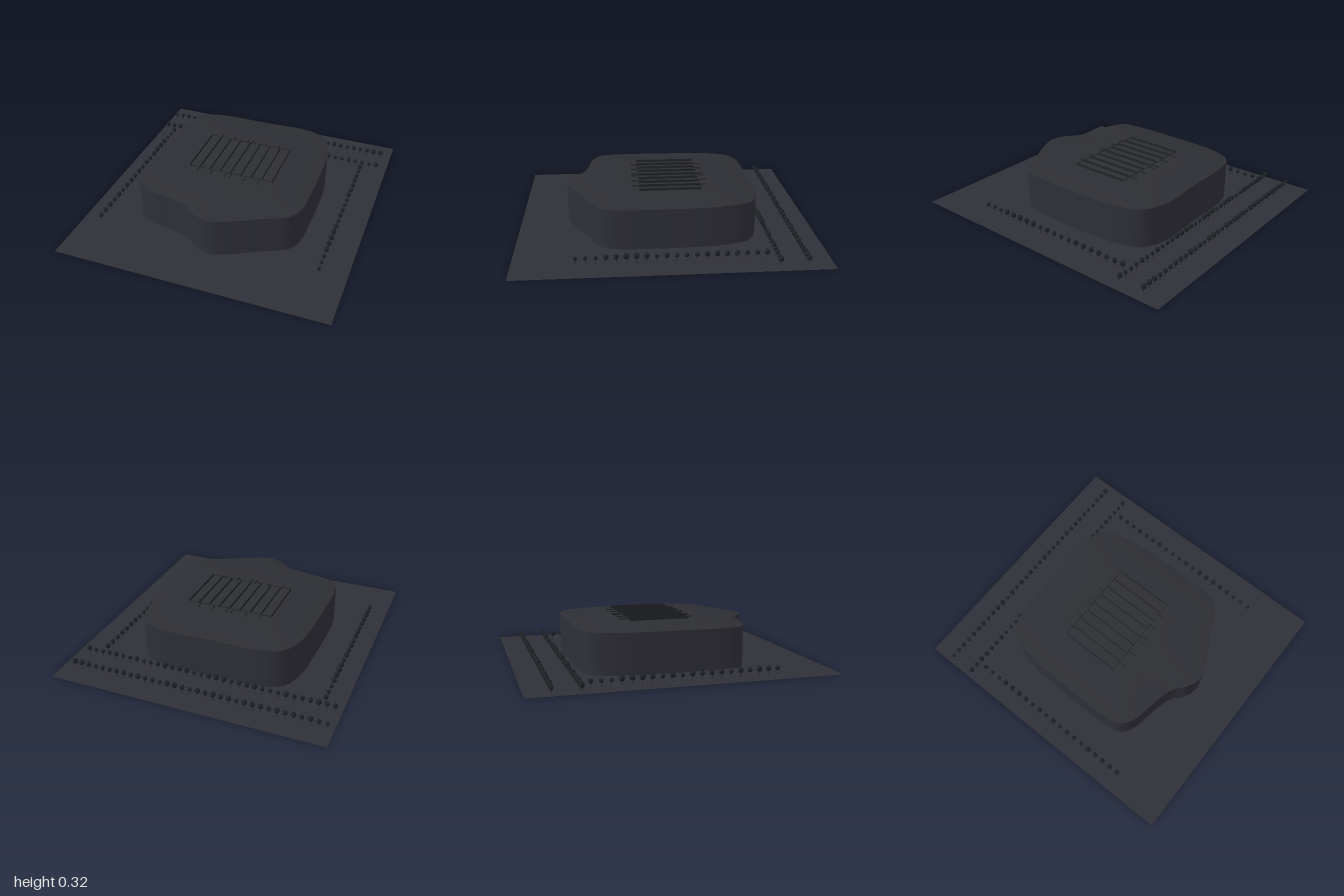
import * as THREE from 'three';

const mat = (name, color) => new THREE.MeshStandardMaterial({ name, color, side: THREE.DoubleSide });

// Plan of the outer wall as [x, z] points, smoothed into a closed curve
const PLAN = [
  [0, -0.598], [0.33, -0.6], [0.476, -0.53], [0.534, -0.37], [0.555, -0.2], [0.56, 0.13], [0.547, 0.36],
  [0.497, 0.45], [0.344, 0.53], [0.16, 0.625], [0.026, 0.672], [-0.08, 0.64], [-0.16, 0.575],
  [-0.29, 0.535], [-0.476, 0.5], [-0.566, 0.44], [-0.59, 0.33], [-0.59, -0.13], [-0.572, -0.38],
  [-0.51, -0.53], [-0.4, -0.586],
];
const N = 120;
const outline = new THREE.CatmullRomCurve3(PLAN.map(([x, z]) => new THREE.Vector3(x, 0, z)), true)
  .getPoints(N).slice(0, N);

// Scaled copy of the wall plan at height y
const planLoop = (s, y) => outline.map((p) => new THREE.Vector3(p.x * s, y, p.z * s));

// Rounded rectangle following the same angles as the plan
const pitchLoop = (hx, hz, y) => outline.map((p) => {
  const a = Math.atan2(p.z, p.x), c = Math.cos(a), s = Math.sin(a);
  const r = Math.pow(Math.pow(Math.abs(c) / hx, 5) + Math.pow(Math.abs(s) / hz, 5), -0.2);
  return new THREE.Vector3(c * r, y, s * r - 0.02);
});

// Surface through a series of closed loops
function loft(loops) {
  const pos = [], idx = [];
  loops.forEach((loop) => loop.forEach((p) => pos.push(p.x, p.y, p.z)));
  for (let j = 0; j < loops.length - 1; j++) {
    for (let i = 0; i < N; i++) {
      const k = (i + 1) % N, a = j * N + i, b = j * N + k, c = a + N, d = b + N;
      idx.push(a, c, b, b, c, d);
    }
  }
  const g = new THREE.BufferGeometry();
  g.setAttribute('position', new THREE.Float32BufferAttribute(pos, 3));
  g.setIndex(idx);
  g.computeVertexNormals();
  return g;
}

export function createModel() {
  const model = new THREE.Group();
  const paving = mat('paving', 0x2f2f38);
  const cladding = mat('cladding', 0x2f2f38);
  const roofing = mat('roofing', 0x2d2e33);
  const steel = mat('dark steel', 0x222428);
  const seating = mat('seating', 0x26282d);
  const grass = mat('grass', 0x355a2c);
  const foliage = mat('foliage', 0x1c2225);
  foliage.flatShading = true;
  const bark = mat('bark', 0x2e2a28);

  const add = (name, geometry, material, parent = model) => {
    const mesh = new THREE.Mesh(geometry, material);
    mesh.name = name;
    parent.add(mesh);
    return mesh;
  };
  const box = (name, w, h, d, x, y, z, material, parent) =>
    add(name, new THREE.BoxGeometry(w, h, d), material, parent).position.set(x, y, z);

  // Ground sheet, open below the building
  const sheet = new THREE.Shape([[-0.93, -1], [0.93, -1], [0.93, 1], [-0.93, 1]].map((p) => new THREE.Vector2(...p)));
  sheet.holes.push(new THREE.Path(outline.map((p) => new THREE.Vector2(p.x, -p.z))));
  add('ground', new THREE.ShapeGeometry(sheet).rotateX(-Math.PI / 2), paving);

  // Outer wall and domed roof
  add('outerWall', loft([planLoop(1, 0), planLoop(1, 0.272)].reverse()), cladding);
  const roofLoops = [0.001, 0.2, 0.4, 0.55, 0.68, 0.8, 0.88, 0.94, 0.98, 1]
    .map((s) => planLoop(s, 0.272 + 0.026 * (1 - Math.pow(s, 4))));
  add('roof', loft(roofLoops.reverse()), roofing);

  // Pitch
  const field = new THREE.Shape(pitchLoop(0.275, 0.205, 0).map((p) => new THREE.Vector2(p.x, -p.z)));
  add('pitch', new THREE.ShapeGeometry(field).rotateX(-Math.PI / 2).translate(0, 0.01, 0), grass);

  // Two tiers of stepped stands around the pitch
  const inner = pitchLoop(0.29, 0.22, 0), outer = planLoop(0.94, 0);
  const standLoop = (t, y) => inner.map((p, i) => p.clone().lerp(outer[i], t).setY(y));
  [[0.02, 0.48, 0.015, 0.1], [0.45, 1, 0.14, 0.245]].forEach(([t0, t1, y0, y1], n) => {
    const loops = [], rows = 7;
    for (let r = 0; r < rows; r++) {
      const t = THREE.MathUtils.lerp(t0, t1, r / rows), y = THREE.MathUtils.lerp(y0, y1, r / (rows - 1));
      loops.push(standLoop(t, y), standLoop(THREE.MathUtils.lerp(t0, t1, (r + 1) / rows), y));
    }
    const stand = add(n ? 'upperStand' : 'lowerStand', loft(loops.reverse()).toNonIndexed(), seating);
    stand.geometry.computeVertexNormals();
  });

  // Roof fins with end rails and short brackets
  const frame = new THREE.Group();
  frame.name = 'roofFrame';
  model.add(frame);
  for (let i = 0; i < 9; i++) {
    box('roofFin', 0.002, 0.018, 0.413, -0.31 + i * 0.075, 0.308, -0.028, steel, frame);
  }
  for (const [z, out] of [[-0.236, -1], [0.178, 1]]) {
    box('roofRail', 0.61, 0.004, 0.003, -0.012, 0.309, z, steel, frame);
    for (const x of [-0.24, -0.14, -0.037, 0, 0.1, 0.2]) {
      box('roofBracket', 0.004, 0.008, 0.048, x, 0.302, z + out * 0.024, steel, frame);
    }
  }

  // Trees in two rows behind and one column on each side
  let seed = 7;
  const random = () => (seed = (seed * 16807) % 2147483647) / 2147483647;
  const crownShape = new THREE.IcosahedronGeometry(1, 1);
  const trunkShape = new THREE.CylinderGeometry(0.0015, 0.002, 0.035, 5);
  const plant = (x, z) => {
    const tree = new THREE.Group(), size = 0.0125 + random() * 0.006;
    tree.name = 'tree';
    tree.position.set(x, 0, z);
    const crown = add('treeCrown', crownShape, foliage, tree);
    crown.scale.set(size, size * 1.1, size);
    crown.position.y = 0.026 + size;
    crown.rotation.y = random() * 6;
    add('treeTrunk', trunkShape, bark, tree).position.y = 0.0175;
    model.add(tree);
  };
  for (const z of [-0.84, -0.665]) {
    for (let i = 0; i < 34; i++) plant(-0.885 + i * 0.0526, z);
  }
  for (const x of [-0.805, 0.745]) {
    for (let i = 0; i < 20; i++) plant(x, -0.6 + i * 0.0632);
  }
  return model;
}
